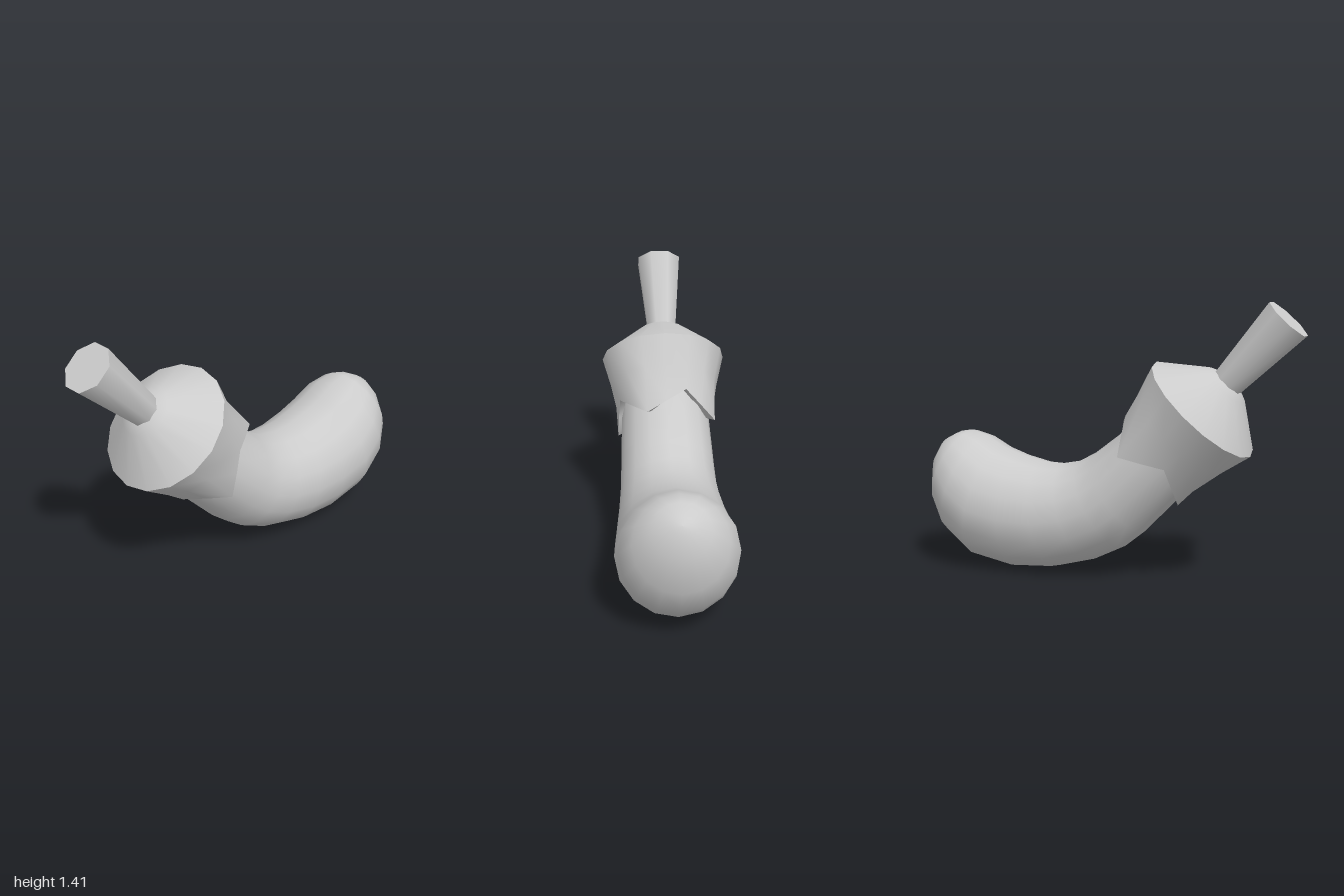
import * as THREE from 'three';

const SIDES = 16;
const material = new THREE.MeshStandardMaterial({ color: 0xcccccc, side: THREE.DoubleSide });

// Smooth skin over closed rings of equal point count
function loft(rings) {
  const n = rings[0].length;
  const index = [];
  for (let i = 0; i < rings.length - 1; i++) {
    for (let j = 0; j < n; j++) {
      const a = i * n + j, b = i * n + (j + 1) % n;
      index.push(a, b, a + n, b, b + n, a + n);
    }
  }
  const geometry = new THREE.BufferGeometry().setFromPoints(rings.flat());
  geometry.setIndex(index);
  geometry.computeVertexNormals();
  return geometry;
}

function ring(pointAt) {
  return Array.from({ length: SIDES }, (_, j) => pointAt((j / SIDES) * Math.PI * 2, j));
}

function addMesh(parent, name, geometry) {
  const mesh = new THREE.Mesh(geometry, material);
  mesh.name = name;
  parent.add(mesh);
  return mesh;
}

export function createModel() {
  const model = new THREE.Group();
  model.name = 'curvedVegetable';

  // Body sections: inner-curve z, y, outer-curve z, y, half width
  const sections = [
    [0.24, 0.93, 0.56, 0.63, 0.22],
    [0.07, 0.74, 0.43, 0.48, 0.235],
    [-0.06, 0.64, 0.21, 0.25, 0.245],
    [-0.15, 0.59, 0.1, 0.16, 0.25],
    [-0.25, 0.57, -0.07, 0.075, 0.262],
    [-0.37, 0.575, -0.27, 0.02, 0.277],
    [-0.5, 0.605, -0.5, 0.003, 0.29],
    [-0.6, 0.64, -0.75, 0.05, 0.296],
    [-0.7, 0.695, -0.9, 0.17, 0.278],
    [-0.79, 0.72, -0.98, 0.32, 0.22],
    [-0.85, 0.71, -1.0, 0.5, 0.135],
    [-0.92, 0.675, -0.972, 0.61, 0.05],
    [-0.95, 0.646, -0.95, 0.646, 0],
  ];
  const bodyRings = sections.map(([tz, ty, bz, by, w]) => ring((t) => {
    const k = Math.cos(t) / 2;
    return new THREE.Vector3(w * Math.sin(t),
      (ty + by) / 2 + (ty - by) * k, (tz + bz) / 2 + (tz - bz) * k);
  }));
  addMesh(model, 'body', loft(bodyRings));

  // Cap and stem share a tilted axis; local y = 0 is the cap rim
  const top = new THREE.Group();
  top.name = 'capAndStem';
  top.position.set(0, 0.89, 0.505);
  top.rotation.x = 0.75;
  model.add(top);

  // Domed crown
  const crownProfile = [[0.33, 0], [0.125, 0.165], [0.06, 0.195], [0, 0.2]]
    .map(([r, y]) => new THREE.Vector2(r, y));
  addMesh(top, 'capCrown', new THREE.LatheGeometry(crownProfile, SIDES));

  // Skirt with four points; j % 4: 1 = tip, 3 = notch, even = between
  const polar = (t, r, y) => new THREE.Vector3(r * Math.sin(t), y, -r * Math.cos(t));
  const edge = (inset, lift) => ring((t, j) => {
    const k = j % 4;
    const r = k === 1 ? 0.275 : k === 3 ? 0.262 : 0.25;
    const y = k === 1 ? -0.405 : k === 3 ? -0.28 : -0.342;
    return polar(t, r - inset, y + lift);
  });
  addMesh(top, 'capSkirt', loft([
    ring((t) => polar(t, 0.33, 0)),
    ring((t) => polar(t, 0.287, -0.16)),
    edge(0, 0),
  ]));
  addMesh(top, 'capLip', loft([edge(0, 0), edge(0.05, 0.02)]));

  // Flared eight-sided stem
  const stem = addMesh(top, 'stem', new THREE.CylinderGeometry(0.124, 0.08, 0.444, 8));
  stem.position.y = 0.382;
  stem.rotation.y = Math.PI / 8;

  return model;
}
